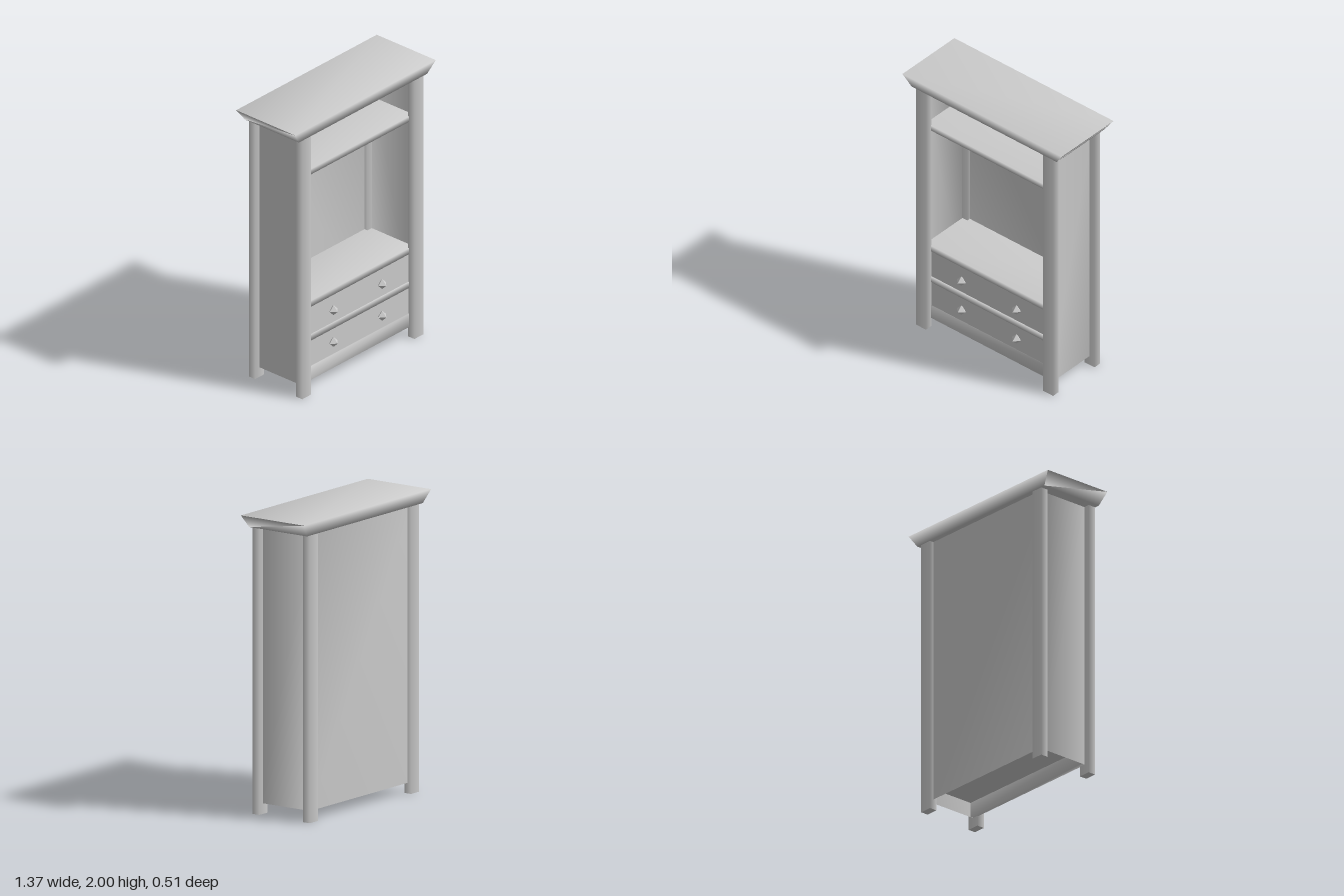
import * as THREE from 'three';
import { mergeVertices } from 'three/addons/utils/BufferGeometryUtils.js';

const grey = new THREE.MeshStandardMaterial({ color: 0xcccccc });
const greyThin = new THREE.MeshStandardMaterial({ color: 0xcccccc, side: THREE.DoubleSide });
const greyFlat = new THREE.MeshStandardMaterial({ color: 0xcccccc, flatShading: true });

// Box whose corners share normals, optionally flaring toward the top
function softBox(w, h, d, topW = w, topD = d) {
  const geo = new THREE.BoxGeometry(w, h, d);
  const pos = geo.attributes.position;
  for (let i = 0; i < pos.count; i++) {
    if (pos.getY(i) > 0) {
      pos.setX(i, Math.sign(pos.getX(i)) * topW / 2);
      pos.setZ(i, Math.sign(pos.getZ(i)) * topD / 2);
    }
  }
  geo.deleteAttribute('normal');
  geo.deleteAttribute('uv');
  const merged = mergeVertices(geo);
  merged.computeVertexNormals();
  return merged;
}

// Square post: soft around the sides, flat end caps
function postGeometry(w, h, d) {
  return new THREE.CylinderGeometry(Math.SQRT1_2, Math.SQRT1_2, 1, 4)
    .rotateY(Math.PI / 4).scale(w, h, d);
}

// Thin three-sided wall: one side, the back, the other side
function carcassGeometry(x, zFront, zBack, y0, y1) {
  const corners = [[x, zFront], [x, zBack], [-x, zBack], [-x, zFront]];
  const geo = new THREE.PlaneGeometry(1, 1, 3, 1);
  const pos = geo.attributes.position;
  for (let i = 0; i < pos.count; i++) {
    const [cx, cz] = corners[i % 4];
    pos.setXYZ(i, cx, i < 4 ? y1 : y0, cz);
  }
  geo.computeVertexNormals();
  return geo;
}

export function createModel() {
  const model = new THREE.Group();
  model.name = 'cabinet';
  const add = (name, geo, x, y, z, material = grey) => {
    const mesh = new THREE.Mesh(geo, material);
    mesh.name = name;
    mesh.position.set(x, y, z);
    model.add(mesh);
  };

  // Flared crown
  add('crown', softBox(1.25, 0.085, 0.47, 1.37, 0.515), 0, 1.9575, 0);

  // Corner posts
  const post = postGeometry(0.087, 1.915, 0.055);
  for (const x of [-0.547, 0.547]) {
    add('frontPost', post, x, 0.9575, 0.206);
    add('backPost', post, x, 0.9575, -0.204);
  }

  // Side and back panels
  add('sideAndBackPanels', carcassGeometry(0.548, 0.2, -0.202, 0.07, 1.915), 0, 0, 0, greyThin);

  // Shelves, given by bottom and top heights
  for (const [y0, y1] of [[0.36, 0.405], [0.61, 0.655], [1.59, 1.63]]) {
    add('shelf', softBox(1.09, y1 - y0, 0.386), 0, (y0 + y1) / 2, -0.008);
  }

  // Drawers with a pair of faceted knobs each
  const knob = new THREE.OctahedronGeometry(0.037);
  for (const [y0, y1, knobY] of [[0.17, 0.36, 0.265], [0.405, 0.61, 0.5]]) {
    add('drawer', new THREE.BoxGeometry(1.09, y1 - y0, 0.38), 0, (y0 + y1) / 2, -0.01);
    for (const x of [-0.237, 0.237]) add('drawerKnob', knob, x, knobY, 0.19, greyFlat);
  }

  // Plinth board below the drawers
  add('plinth', softBox(1.09, 0.1, 0.03), 0, 0.12, 0.17);

  return model;
}
